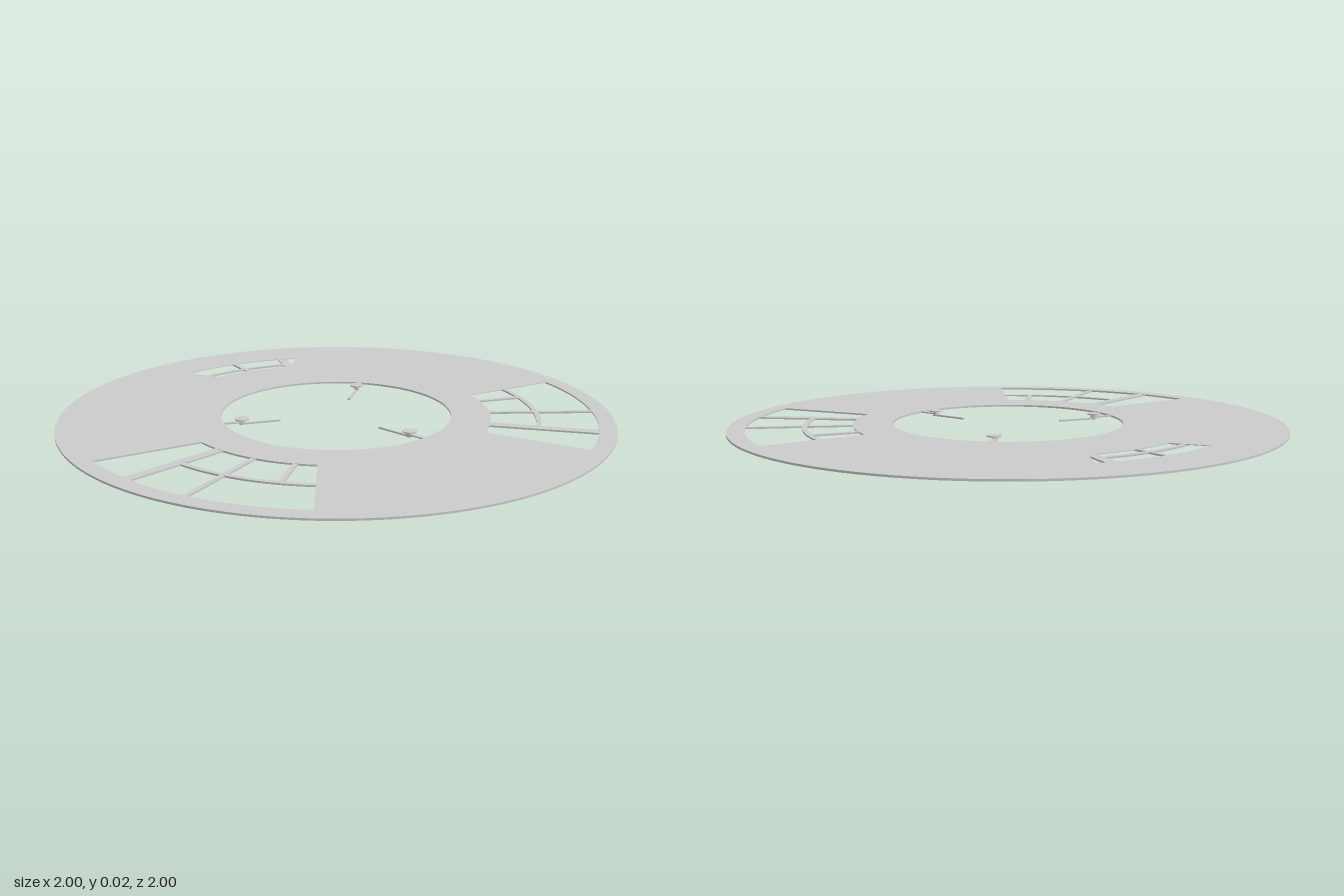
import * as THREE from 'three';

const rad = THREE.MathUtils.degToRad;
const material = new THREE.MeshStandardMaterial({ color: 0xcccccc, flatShading: true });

// heights of the layered disc
const TOP = 0.013, SKIN = 0.0105, FRAME = 0.006, PLATE = 0.007;

// ring sector; start and end angles may differ at the inner and outer radius
function trace(path, r0, r1, in0, out0, in1, out1) {
  path.moveTo(r0 * Math.cos(rad(in0)), r0 * Math.sin(rad(in0)));
  path.absarc(0, 0, r0, rad(in0), rad(in1), false);
  path.absarc(0, 0, r1, rad(out1), rad(out0), true);
  path.closePath();
  return path;
}

// flat slab cut from a plan shape, lying between two heights
function slab(shape, y0, y1, name, curveSegments = 32) {
  const g = new THREE.ExtrudeGeometry(shape, { depth: y1 - y0, bevelEnabled: false, curveSegments });
  g.rotateX(Math.PI / 2).translate(0, y1, 0);
  const mesh = new THREE.Mesh(g, material);
  mesh.name = name;
  return mesh;
}

function ring(r0, r1, y0, y1, name) {
  const s = new THREE.Shape().absarc(0, 0, r1, 0, Math.PI * 2, false);
  s.holes.push(new THREE.Path().absarc(0, 0, r0, 0, Math.PI * 2, true));
  return slab(s, y0, y1, name, 96);
}

// radial bar at a plan angle measured from +x towards +z
function bar(r0, r1, width, y0, y1, angle, name) {
  const g = new THREE.BoxGeometry(r1 - r0, y1 - y0, width);
  g.translate((r0 + r1) / 2, (y0 + y1) / 2, 0).rotateY(-rad(angle));
  const mesh = new THREE.Mesh(g, material);
  mesh.name = name;
  return mesh;
}

export function createModel() {
  const model = new THREE.Group();
  model.name = 'ringPlatform';

  // top skin with three windows
  const skin = new THREE.Shape().absarc(0, 0, 1, 0, Math.PI * 2, false);
  skin.holes.push(new THREE.Path().absarc(0, 0, 0.418, 0, Math.PI * 2, true));
  for (const a of [0, 120]) {
    skin.holes.push(trace(new THREE.Path(), 0.562, 0.938, a - 37.4, a - 39.6, a + 10.4, a + 12.8));
  }
  const small = new THREE.Path();
  small.moveTo(0.684 * Math.cos(rad(212.2)), 0.684 * Math.sin(rad(212.2)));
  small.absarc(0, 0, 0.684, rad(212.2), rad(238.4), false);
  small.lineTo(-0.337, -0.626);
  small.absarc(0, 0, 0.815, rad(244), rad(209), true);
  small.closePath();
  skin.holes.push(small);
  model.add(slab(skin, SKIN, TOP, 'topSkin', 96));

  // circular frame members
  model.add(ring(0.94, 1, FRAME, SKIN, 'outerRim'));
  model.add(ring(0.418, 0.45, FRAME, SKIN, 'innerRim'));
  model.add(ring(0.45, 0.5, PLATE + 0.002, SKIN, 'innerWeb'));
  model.add(ring(0.5, 0.56, FRAME, SKIN, 'innerFrameRing'));

  for (let i = 0; i < 3; i++) {
    const a = i * 120;
    const sector = new THREE.Group();
    sector.name = 'sector' + (i + 1);

    // open framework: main spokes, thin ribs and a curved stringer
    for (const d of [-60, 0]) sector.add(bar(0.55, 0.95, 0.037, FRAME, TOP - 0.001, a + d, 'mainSpoke'));
    for (const d of [-45, -15]) sector.add(bar(0.55, 0.95, 0.018, FRAME, TOP - 0.001, a + d, 'rib'));
    sector.add(bar(0.55, 0.73, 0.018, FRAME, TOP - 0.001, a - 30, 'shortRib'));
    const arc = trace(new THREE.Shape(), 0.722, 0.74, a - 59, a - 59, a - 1, a - 1);
    sector.add(slab(arc, FRAME, TOP - 0.001, 'curvedStringer'));

    // closed sector backing plate
    const [inner, outer] = i < 2 ? [10.4, 12.8] : [4.5, 4.5];
    const plate = trace(new THREE.Shape(), 0.56, 0.94, a + inner, a + outer, a + 59, a + 59);
    sector.add(slab(plate, PLATE, SKIN, 'backingPlate'));

    // pivoting finger reaching into the central opening
    const finger = new THREE.Group();
    finger.name = 'finger';
    const angle = a + 30;
    finger.add(bar(0.34, 0.43, 0.016, 0.007, 0.012, angle, 'fingerBracket'));
    finger.add(bar(0.21, 0.36, 0.009, 0, 0.006, angle, 'fingerRod'));
    const x = 0.35 * Math.cos(rad(angle)), z = 0.35 * Math.sin(rad(angle));
    for (const [r, y0, y1, name] of [[0.009, 0, 0.02, 'pivotPost'], [0.025, 0.018, 0.023, 'pivotCap']]) {
      const g = new THREE.CylinderGeometry(r, r, y1 - y0, 24);
      const mesh = new THREE.Mesh(g.translate(x, (y0 + y1) / 2, z), material);
      mesh.name = name;
      finger.add(mesh);
    }
    sector.add(finger);
    model.add(sector);
  }
  return model;
}
